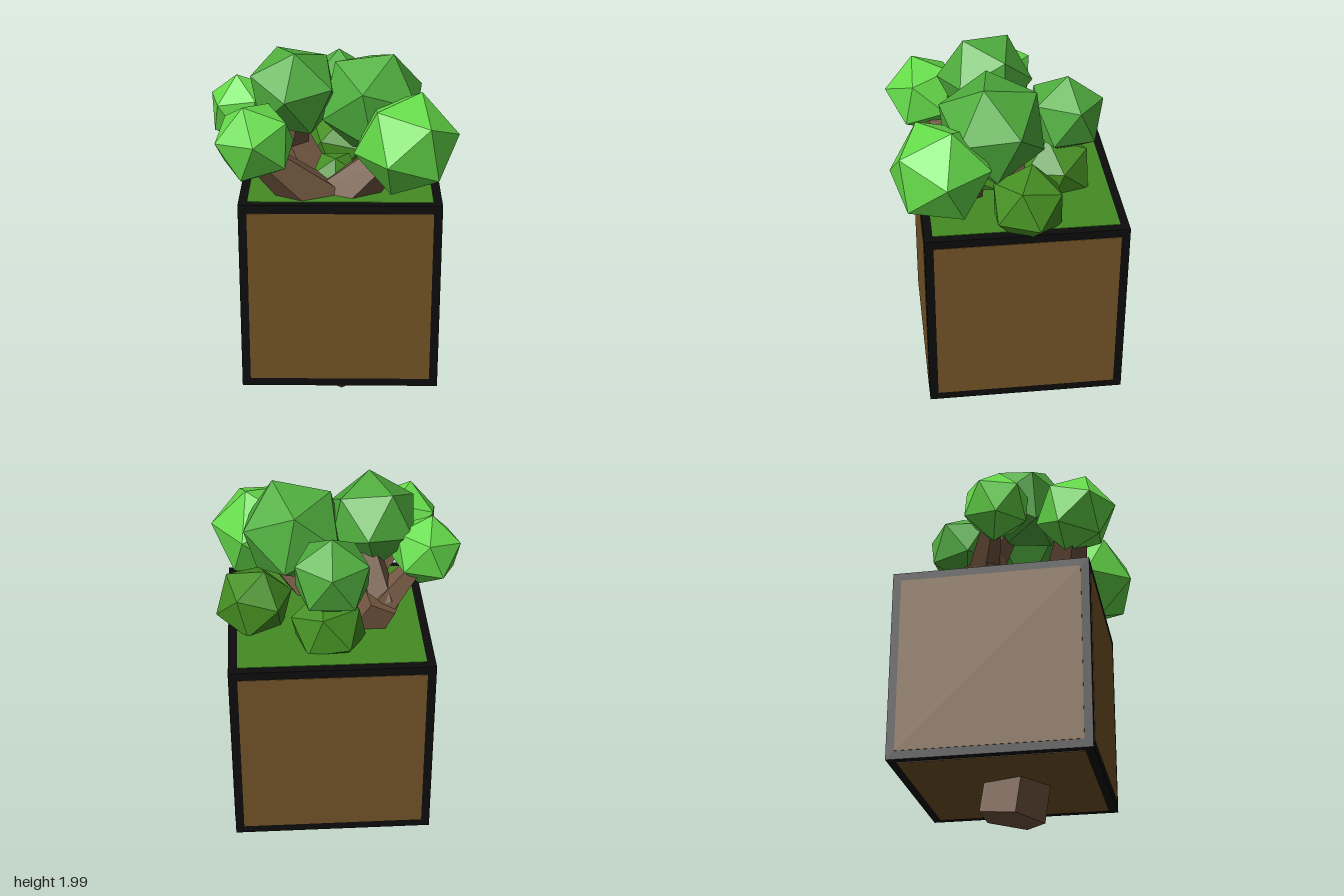
import * as THREE from 'three';

const mat = (name, color, flatShading = true) => {
  const m = new THREE.MeshStandardMaterial({ color, flatShading });
  m.name = name;
  return m;
};
const V = (a) => new THREE.Vector3(...a);

export function createModel() {
  const model = new THREE.Group();
  model.name = 'plantedTreeBlock';
  const black = mat('black frame', 0x0c0c0c);
  const soil = mat('soil brown', 0x735327);
  const grass = mat('grass green', 0x448c24);
  const bark = mat('bark brown', 0x735741);
  const light = mat('light leaf green', 0x66dc4a);
  const mid = mat('mid leaf green', 0x50ae3e);
  const dark = mat('dark leaf green', 0x458f22);

  const add = (name, geo, material, parent = model) => {
    const mesh = new THREE.Mesh(geo, material);
    mesh.name = name;
    parent.add(mesh);
    return mesh;
  };

  // Block: black cube with a thin inset-sized plate on every face
  const size = 1.055, panel = 0.965, thin = 0.006;
  const block = new THREE.Group();
  block.name = 'block';
  block.position.set(0.047, 0.74, -0.075);
  model.add(block);
  add('frame', new THREE.BoxGeometry(size, size, size), black, block);
  const faces = [
    ['frontPanel', [0, 0, 1], soil], ['backPanel', [0, 0, -1], soil],
    ['leftPanel', [1, 0, 0], soil], ['rightPanel', [-1, 0, 0], soil],
    ['bottomPanel', [0, -1, 0], soil], ['grassTop', [0, 1, 0], grass],
  ];
  for (const [name, n, material] of faces) {
    const dims = n.map((c) => (c ? thin : panel));
    add(name, new THREE.BoxGeometry(...dims), material, block)
      .position.copy(V(n).multiplyScalar(size / 2));
  }

  // Wood: five-sided tapered pieces running between two points
  const wood = new THREE.Group();
  wood.name = 'wood';
  model.add(wood);
  const limb = (name, from, to, r0, r1) => {
    const a = V(from), b = V(to), axis = b.clone().sub(a);
    const mesh = add(name, new THREE.CylinderGeometry(r1, r0, axis.length(), 5), bark, wood);
    mesh.position.copy(a).add(b).multiplyScalar(0.5);
    mesh.quaternion.setFromUnitVectors(new THREE.Vector3(0, 1, 0), axis.normalize());
  };
  limb('trunk', [0.055, 0.035, -0.06], [0.02, 1.2, 0.12], 0.185, 0.18);
  limb('trunkFork', [0.02, 1.1, 0.14], [-0.02, 1.28, 0.21], 0.2, 0.17);
  limb('rightFrontArm', [-0.03, 1.17, 0.22], [-0.34, 1.48, 0.34], 0.16, 0.09);
  limb('leftFrontArm', [0.0, 1.17, 0.2], [0.32, 1.5, 0.27], 0.16, 0.09);
  limb('backArm', [-0.08, 1.12, -0.08], [-0.24, 1.43, -0.17], 0.15, 0.12);
  limb('backTwig', [-0.23, 1.38, -0.15], [-0.16, 1.68, -0.02], 0.1, 0.06);
  limb('rightTwig', [-0.24, 1.38, -0.16], [-0.44, 1.58, -0.07], 0.09, 0.05);

  // Foliage: icosahedra turned so one corner points along p and a neighbour towards q
  const foliage = new THREE.Group();
  foliage.name = 'foliage';
  model.add(foliage);
  const phi = (1 + Math.sqrt(5)) / 2;
  const source = new THREE.Matrix4().makeBasis(
    V([0, 1, phi]).normalize(), V([0, -phi, 1]).normalize(), V([1, 0, 0])).transpose();
  const clump = (name, material, centre, r, p, q) => {
    const P = V(p).normalize();
    const R = P.clone().cross(V(q)).normalize();
    const Q = R.clone().cross(P);
    const turn = new THREE.Matrix4().makeBasis(P, Q, R).multiply(source);
    add(name, new THREE.IcosahedronGeometry(r, 0).applyMatrix4(turn), material, foliage)
      .position.set(...centre);
  };
  clump('rightBackLeaves', light, [-0.475, 1.63, -0.045], 0.195, [-0.03, 0.19, 0.02], [-0.17, 0.07, -0.06]);
  clump('rightFrontLeaves', light, [-0.39, 1.585, 0.375], 0.22, [0.005, 0.04, 0.215], [-0.04, 0.17, 0.1]);
  clump('leftFrontLeaves', light, [0.385, 1.57, 0.35], 0.275, [-0.105, -0.045, 0.255], [-0.07, -0.24, 0.05]);
  clump('rightCrownLeaves', mid, [-0.2, 1.765, 0.065], 0.255, [0.01, 0.23, 0.115], [-0.04, 0, 0.25]);
  clump('leftCrownLeaves', mid, [0.215, 1.705, 0.07], 0.295, [0.105, 0.27, 0.05], [-0.12, 0, 0.285]);
  clump('backLeaves', mid, [0.035, 1.655, -0.33], 0.22, [0, 0.22, -0.015], [0.01, 0.1, -0.2]);
  clump('leftLowLeaves', dark, [0.435, 1.37, -0.09], 0.21, [-0.06, 0.2, -0.03], [0.19, 0.02, 0.07]);
  clump('backLowLeaves', dark, [0.05, 1.33, -0.29], 0.21, [0.03, 0.2, 0.05], [0.03, 0.07, -0.2]);
  clump('innerLowLeaves', dark, [0.02, 1.3, 0.1], 0.14, [0, 0.12, 0.07], [0.12, 0.03, 0.06]);
  return model;
}
